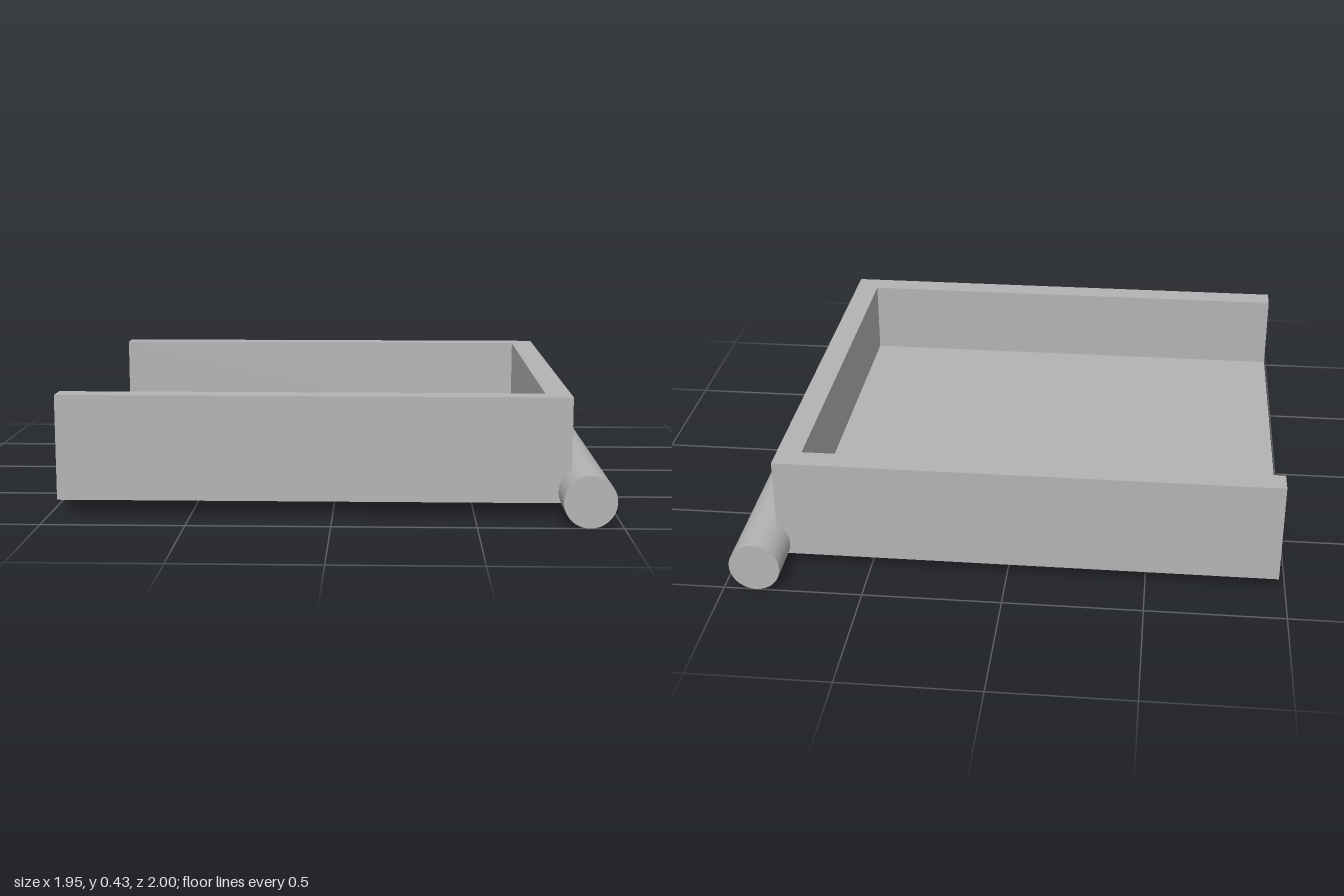
import * as THREE from 'three';

const grey = new THREE.MeshStandardMaterial({ color: 0xb3b3b3 });
grey.name = 'plain grey';

// Tray extents
const OPEN_X = -0.975, CLOSED_X = 0.837, HALF_Z = 0.833;
const BASE_Y = 0.05, TOP_Y = 0.425, WALL = 0.09;
const ROD_R = 0.0915;

function addPart(group, name, geometry, x, y, z) {
  const mesh = new THREE.Mesh(geometry, grey);
  mesh.name = name;
  mesh.position.set(x, y, z);
  group.add(mesh);
}

export function createModel() {
  const model = new THREE.Group();
  model.name = 'openTray';

  // Three walls as one U-shaped plan, open towards -x
  const innerX = CLOSED_X - WALL, innerZ = HALF_Z - WALL;
  const plan = new THREE.Shape([
    [OPEN_X, -HALF_Z], [CLOSED_X, -HALF_Z], [CLOSED_X, HALF_Z], [OPEN_X, HALF_Z],
    [OPEN_X, innerZ], [innerX, innerZ], [innerX, -innerZ], [OPEN_X, -innerZ],
  ].map(([x, y]) => new THREE.Vector2(x, y)));
  const walls = new THREE.ExtrudeGeometry(plan, { depth: TOP_Y - BASE_Y, bevelEnabled: false });
  walls.rotateX(-Math.PI / 2);
  addPart(model, 'trayWalls', walls, 0, BASE_Y, 0);

  // Floor between the walls
  const floor = new THREE.BoxGeometry(innerX - OPEN_X, WALL, 2 * innerZ);
  addPart(model, 'trayFloor', floor, (innerX + OPEN_X) / 2, BASE_Y + WALL / 2, 0);

  // Round rod along the lower closed edge
  const rod = new THREE.CylinderGeometry(ROD_R, ROD_R, 2, 64);
  rod.rotateX(Math.PI / 2);
  addPart(model, 'edgeRod', rod, 0.975 - ROD_R, ROD_R, 0);

  return model;
}
